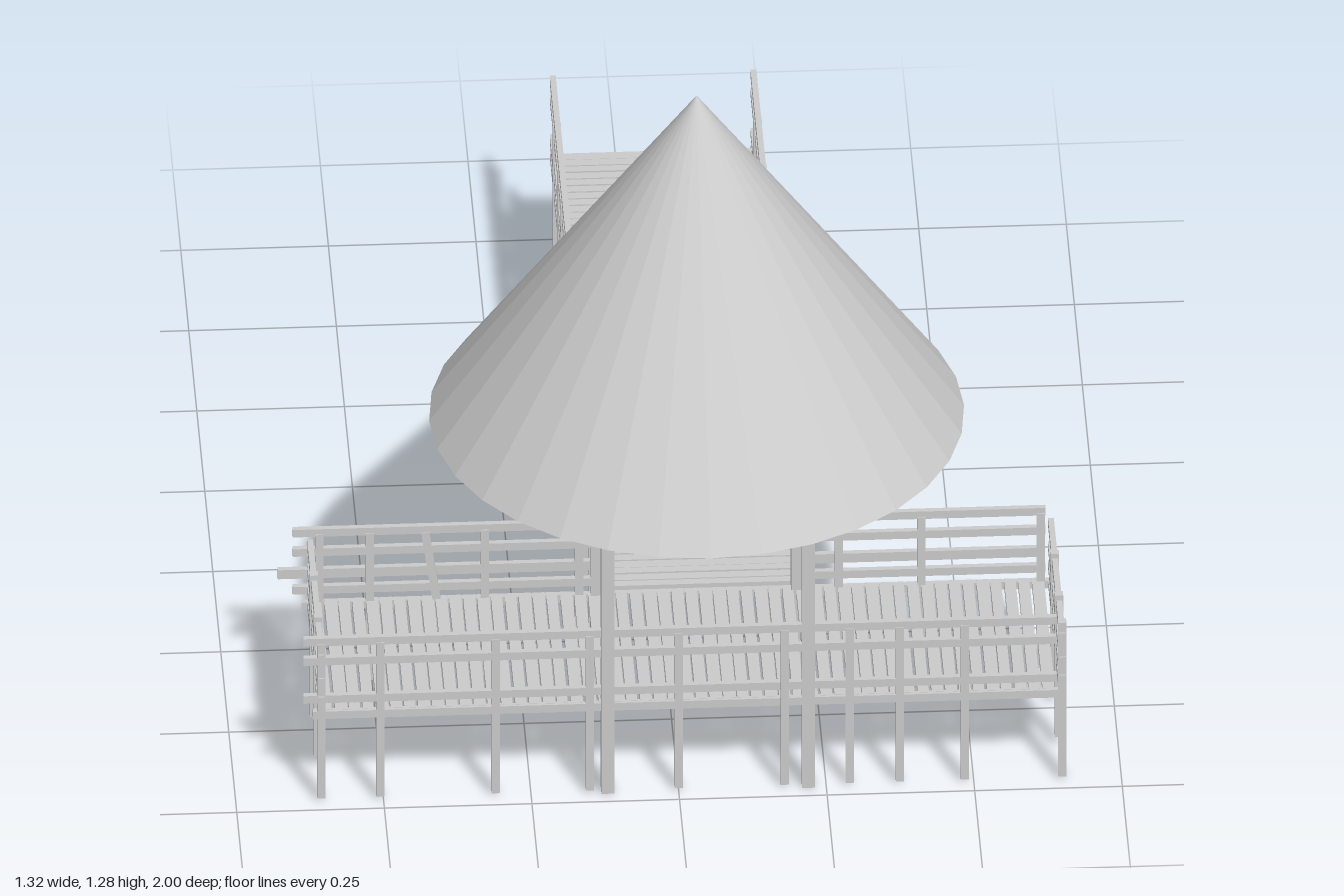
import * as THREE from 'three';

const WEST = -0.12, EAST = 0.22, BACK = 0.375, FRONT = 0.715;
const LEFT_END = -0.605, RIGHT_END = 0.65;

export function createModel() {
  const model = new THREE.Group();
  const grey = new THREE.MeshStandardMaterial({ color: 0xcccccc, flatShading: true });
  const thin = new THREE.MeshStandardMaterial({ color: 0xcccccc, flatShading: true, side: THREE.DoubleSide });

  let seed = 7;
  const rand = () => (seed = (seed * 16807) % 2147483647) / 2147483647;

  const section = (name) => {
    const g = new THREE.Group();
    g.name = name;
    model.add(g);
    return g;
  };

  // Box given by its extents on each axis
  const box = (parent, name, x0, x1, y0, y1, z0, z1) => {
    const m = new THREE.Mesh(new THREE.BoxGeometry(x1 - x0, y1 - y0, z1 - z0), grey);
    m.position.set((x0 + x1) / 2, (y0 + y1) / 2, (z0 + z1) / 2);
    m.name = name;
    parent.add(m);
    return m;
  };
  const railX = (parent, name, x0, x1, y, z, h = 0.015) =>
    box(parent, name, x0, x1, y - h / 2, y + h / 2, z - 0.005, z + 0.005);
  const railZ = (parent, name, z0, z1, y, x, h = 0.015) =>
    box(parent, name, x - 0.005, x + 0.005, y - h / 2, y + h / 2, z0, z1);
  const stake = (parent, x, z, bottom = 0.005, top = 0.315) =>
    box(parent, 'railPost', x - 0.007, x + 0.007, bottom, top, z - 0.007, z + 0.007);

  // Conical roof with a flat ceiling inside
  const roof = new THREE.Mesh(new THREE.ConeGeometry(0.453, 0.64, 32, 1, true), thin);
  roof.name = 'roof';
  roof.position.set(0.04, 0.965, 0.545);
  model.add(roof);
  const ceiling = new THREE.Mesh(new THREE.CircleGeometry(0.28, 32), thin);
  ceiling.name = 'ceiling';
  ceiling.rotation.x = Math.PI / 2;
  ceiling.position.set(0.04, 0.885, 0.545);
  model.add(ceiling);

  // Roof posts and tie beams
  const frame = section('roofFrame');
  for (const x of [WEST, EAST])
    for (const z of [BACK, FRONT])
      box(frame, 'roofPost', x - 0.011, x + 0.011, 0, 0.88, z - 0.011, z + 0.011);
  for (const z of [BACK, FRONT]) railX(frame, 'tieBeam', -0.095, 0.275, 0.575, z, 0.018);
  for (const x of [WEST, EAST]) railZ(frame, 'tieBeam', 0.365, 0.725, 0.575, x, 0.018);

  // Plank decks with slightly uneven gaps
  const deck = section('platformDeck');
  for (let x = LEFT_END; x < RIGHT_END - 0.015; x += 0.0235) {
    const w = 0.018 + rand() * 0.004;
    box(deck, 'plank', x, x + w, 0.168, 0.179, BACK - 0.005, FRONT);
  }
  const walk = section('walkwayDeck');
  for (let z = -0.99; z < BACK - 0.02; z += 0.0205) {
    const w = 0.015 + rand() * 0.005;
    box(walk, 'plank', WEST, EAST, 0.168, 0.179, z, z + w);
  }

  // Edge beams under the rails
  const edges = section('edgeBeams');
  for (const z of [BACK, FRONT]) railX(edges, 'edgeBeam', -0.62, RIGHT_END, 0.171, z);
  for (const x of [LEFT_END, RIGHT_END]) railZ(edges, 'edgeBeam', BACK, FRONT, 0.171, x);
  for (const x of [WEST, EAST]) railZ(edges, 'edgeBeam', -0.995, BACK, 0.174, x);

  // Platform railings
  const rails = section('platformRailing');
  for (const y of [0.203, 0.279, 0.318]) {
    railX(rails, 'frontRail', -0.635, 0.64, y, FRONT);
    railX(rails, 'backRail', -0.635, WEST, y, BACK);
    railX(rails, 'backRail', EAST, 0.64, y, BACK);
  }
  railX(rails, 'looseRail', -0.66, -0.095, 0.231, BACK - 0.008, 0.018);
  railX(rails, 'looseRail', 0.225, 0.63, 0.231, BACK - 0.008, 0.018);
  for (const x of [LEFT_END, RIGHT_END])
    for (const y of [0.203, 0.24, 0.288]) railZ(rails, 'endRail', BACK - 0.01, FRONT + 0.01, y, x);

  for (const x of [LEFT_END, -0.505, -0.31, -0.15, 0, 0.18, 0.29, 0.375, 0.485, RIGHT_END])
    stake(rails, x, FRONT);
  for (const x of [-0.59, -0.505, -0.31, -0.15]) stake(rails, x, BACK, 0.02);
  for (const x of [0.29, 0.43, 0.632]) stake(rails, x, BACK);
  for (const x of [LEFT_END, RIGHT_END])
    for (const z of [0.485, 0.615]) stake(rails, x, z, 0.02, 0.305);
  const crooked = stake(rails, -0.39, BACK, 0.02);
  crooked.name = 'crookedPost';
  crooked.rotation.z = 0.14;

  // Walkway railings
  const walkRails = section('walkwayRailing');
  for (const x of [WEST, EAST])
    for (const y of [0.205, 0.286, 0.323]) railZ(walkRails, 'walkwayRail', -1, BACK, y, x);
  for (const z of [0.34, 0.26, 0.07, -0.095, -0.29, -0.43, -0.535, -0.62, -0.73, -0.87])
    stake(walkRails, WEST, z, 0.01);
  for (const z of [0.34, 0.175, 0.07, -0.095, -0.29, -0.43, -0.535, -0.68, -0.73, -0.87])
    stake(walkRails, EAST, z, 0.01);

  // Loose, slanting middle rails: side, z range, tilt
  for (const [x, z0, z1, tilt] of [
    [WEST, 0.015, 0.26, 0.08], [EAST, 0.02, 0.26, -0.1], [EAST, -0.42, -0.19, -0.03],
    [WEST, -0.9, -0.65, 0.02], [EAST, -0.89, -0.66, -0.05],
  ]) railZ(walkRails, 'looseRail', z0, z1, 0.235, x, 0.012).rotation.x = tilt;

  return model;
}
